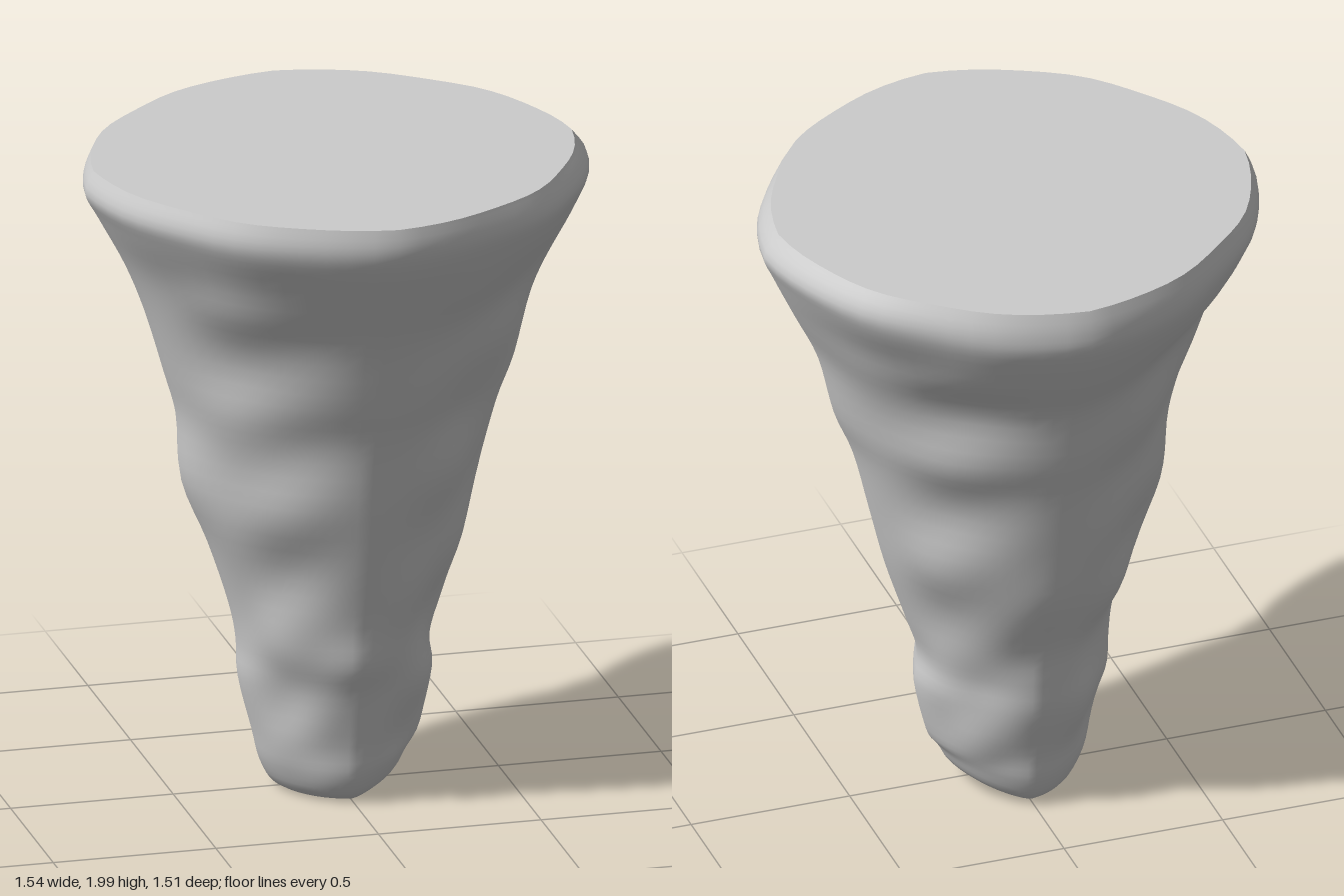
import * as THREE from 'three';

// Cross-sections from bottom to top: [y, +x, +z, -x, -z] reach from the axis
const SECTIONS = [
  [0.025, 0, 0, 0, 0],
  [0.012, 0.12, 0.13, 0.12, 0.14],
  [0.025, 0.19, 0.20, 0.19, 0.215],
  [0.10, 0.225, 0.24, 0.235, 0.25],
  [0.20, 0.26, 0.25, 0.26, 0.26],
  [0.36, 0.295, 0.28, 0.30, 0.305],
  [0.47, 0.285, 0.32, 0.305, 0.315],
  [0.60, 0.325, 0.33, 0.33, 0.33],
  [0.80, 0.39, 0.375, 0.395, 0.41],
  [1.00, 0.44, 0.42, 0.475, 0.45],
  [1.20, 0.49, 0.46, 0.49, 0.49],
  [1.35, 0.55, 0.51, 0.53, 0.535],
  [1.55, 0.60, 0.575, 0.59, 0.58],
  [1.70, 0.67, 0.65, 0.65, 0.67],
  [1.85, 0.74, 0.73, 0.73, 0.745],
  [1.93, 0.77, 0.753, 0.77, 0.75],
  [2.00, 0.725, 0.74, 0.745, 0.73],
];
const SEGMENTS = 64;
const STEPS = 4;

const catmull = (a, b, c, d, t) =>
  0.5 * (2 * b + (c - a) * t + (2 * a - 5 * b + 4 * c - d) * t * t + (3 * b - a - 3 * c + d) * t ** 3);

// Section at a fractional row number
function sectionAt(u) {
  const last = SECTIONS.length - 1;
  const i = Math.min(Math.floor(u), last - 1);
  const row = (k) => SECTIONS[Math.max(0, Math.min(last, k))];
  return SECTIONS[i].map((_, k) => catmull(row(i - 1)[k], row(i)[k], row(i + 1)[k], row(i + 2)[k], u - i));
}

// Point on the rough, slightly diamond-shaped surface
function surfacePoint(u, angle) {
  const [y, ...reach] = sectionAt(u);
  const q = angle / (Math.PI / 2);
  const k = Math.floor(q) % 4;
  const t = q - Math.floor(q);
  const w = t * t * (3 - 2 * t);
  let r = reach[k] * (1 - w) + reach[(k + 1) % 4] * w;
  const diagonal = Math.sin(2 * angle) ** 2;
  const rim = THREE.MathUtils.smoothstep(y, 1.6, 1.9);
  r *= 1 - (0.075 - 0.025 * rim) * Math.sqrt(diagonal);
  // lumps fade out on the four ridges, the rim and the tip
  const fade = diagonal * (1 - rim) * THREE.MathUtils.smoothstep(y, 0.05, 0.3);
  r += 0.011 * fade * (Math.sin(17 * y + 2 * angle) + 0.7 * Math.sin(11 * y - 5 * angle + 1));
  r += 0.006 * rim * diagonal * Math.sin(9 * angle + 0.6);
  const x = r * Math.cos(angle);
  // the tip slopes up toward +x
  const lift = 0.3 * Math.max(0, x - 0.01) * (1 - THREE.MathUtils.smoothstep(y, 0.03, 0.2));
  return [x, Math.min(2, Math.max(0, y + lift)), r * Math.sin(angle)];
}

function gridGeometry(rows, pointAt) {
  const positions = [];
  const indices = [];
  for (let i = 0; i <= rows; i++) {
    for (let j = 0; j < SEGMENTS; j++) {
      positions.push(...pointAt(i, (j / SEGMENTS) * Math.PI * 2));
      if (i === rows) continue;
      const a = i * SEGMENTS + j;
      const b = i * SEGMENTS + ((j + 1) % SEGMENTS);
      indices.push(a, a + SEGMENTS, b, b, a + SEGMENTS, b + SEGMENTS);
    }
  }
  const geometry = new THREE.BufferGeometry();
  geometry.setAttribute('position', new THREE.Float32BufferAttribute(positions, 3));
  geometry.setIndex(indices);
  geometry.computeVertexNormals();
  return geometry;
}

export function createModel() {
  const group = new THREE.Group();
  group.name = 'taperedStump';
  const material = new THREE.MeshStandardMaterial({ color: 0xcccccc });
  const add = (name, geometry) => {
    const mesh = new THREE.Mesh(geometry, material);
    mesh.name = name;
    group.add(mesh);
  };

  // Lumpy tapering body with closed tip
  const rows = (SECTIONS.length - 1) * STEPS;
  add('body', gridGeometry(rows, (i, angle) => surfacePoint(i / STEPS, angle)));

  // Flat top
  add('topFace', gridGeometry(1, (i, angle) => {
    const [x, , z] = surfacePoint(SECTIONS.length - 1, angle);
    return [x * (1 - i), 2, z * (1 - i)];
  }));
  return group;
}
